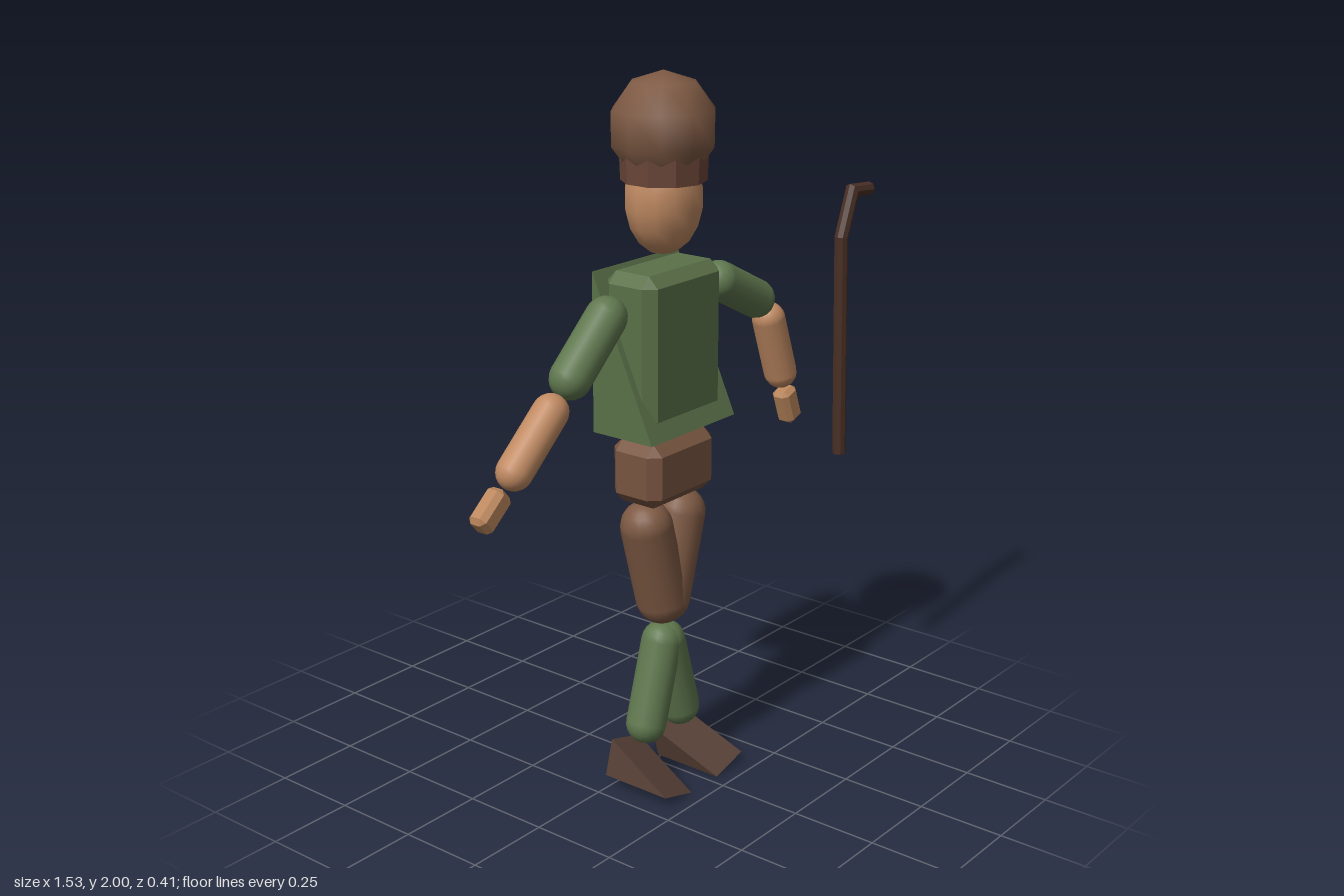
import * as THREE from 'three';
import { ConvexGeometry } from 'three/addons/geometries/ConvexGeometry.js';

const CX = -0.029; // body centre line
const CZ = 0.055;  // body depth centre
const mat = (color, flatShading = false) => new THREE.MeshStandardMaterial({ color, flatShading });
const green = mat(0x5f774e), greenFlat = mat(0x5a7048, true);
const skin = mat(0xc08a62), handSkin = mat(0xb9855a, true);
const brown = mat(0x7d5943), pelvisBrown = mat(0x785440, true), bandBrown = mat(0x6b4638, true);
const shoeBrown = mat(0x533d33, true), staffBrown = mat(0x4a3026, true), packTan = mat(0x9c754c, true);

// Box with every edge and corner cut off by c
function chamferBox(w, h, d, c) {
  const pts = [];
  for (const x of [-1, 1]) for (const y of [-1, 1]) for (const z of [-1, 1]) {
    for (let a = 0; a < 3; a++) {
      const cut = [c, c, c];
      cut[a] = 0;
      pts.push(new THREE.Vector3(x * (w / 2 - cut[0]), y * (h / 2 - cut[1]), z * (d / 2 - cut[2])));
    }
  }
  return new ConvexGeometry(pts);
}

// Right-angled wedge: tall at the back, sloping down to the front bottom edge
function wedge(w, h, d) {
  const g = new THREE.BoxGeometry(w, h, d);
  const p = g.attributes.position;
  for (let i = 0; i < p.count; i++) if (p.getY(i) > 0 && p.getZ(i) > 0) p.setZ(i, -d / 2);
  g.computeVertexNormals();
  return g;
}

// Bent rod with mitred joints through points in an xy plane
function bentRod(path, r, sides) {
  const n = path.length - 1;
  const g = new THREE.CylinderGeometry(r, r, 1, sides, n);
  const p = g.attributes.position;
  const dirs = path.slice(1).map((q, i) => q.clone().sub(path[i]).normalize());
  for (let k = 0; k < p.count; k++) {
    const i = Math.round((p.getY(k) + 0.5) * n);
    const a = dirs[Math.max(i - 1, 0)], b = dirs[Math.min(i, n - 1)];
    const t = a.clone().add(b).normalize();
    const s = p.getX(k) / t.dot(a);
    p.setXYZ(k, path[i].x + t.y * s, path[i].y - t.x * s, p.getZ(k));
  }
  g.computeVertexNormals();
  return g;
}

export function createModel() {
  const model = new THREE.Group();
  model.name = 'traveller';

  const add = (name, geometry, material, x, y, z, rz = 0) => {
    const m = new THREE.Mesh(geometry, material);
    m.name = name;
    m.position.set(x, y, z);
    m.rotation.z = rz;
    model.add(m);
    return m;
  };

  // Capsule between two cap centres in the body plane
  const limb = (name, x1, y1, x2, y2, r, material) => {
    const dx = x2 - x1, dy = y2 - y1;
    add(name, new THREE.CapsuleGeometry(r, Math.hypot(dx, dy), 6, 16), material,
      (x1 + x2) / 2, (y1 + y2) / 2, CZ, Math.atan2(-dx, dy));
  };

  // Head and hat
  add('head', new THREE.SphereGeometry(1, 12, 9), skin, CX, 1.67, CZ).scale.set(0.115, 0.152, 0.1);
  add('hatBand', new THREE.CylinderGeometry(0.117, 0.114, 0.07, 10), bandBrown, CX, 1.75, CZ);
  add('hat', new THREE.SphereGeometry(0.147, 10, 5), brown, CX, 1.853, CZ - 0.002);

  // Torso, tunic and hips
  add('torso', chamferBox(0.32, 0.42, 0.17, 0.03), greenFlat, CX, 1.28, CZ);
  add('tunic', wedge(0.36, 0.44, 0.2), greenFlat, CX, 1.27, 0.06);
  add('hips', chamferBox(0.276, 0.18, 0.165, 0.03), pelvisBrown, CX, 0.935, CZ);

  // Legs, mirrored about the body centre line
  for (const [side, s] of [['left', 1], ['right', -1]]) {
    limb(side + 'Thigh', CX + s * 0.073, 0.772, CX + s * 0.007, 0.538, 0.073, brown);
    limb(side + 'Shin', CX + s * 0.007, 0.407, CX + s * 0.075, 0.178, 0.058, green);
    add(side + 'Shoe', wedge(0.122, 0.105, 0.215), shoeBrown, CX + s * 0.104, 0.067, 0.0975, s * 0.265);
  }

  // Right arm, stretched out
  limb('rightUpperArm', -0.265, 1.395, -0.407, 1.264, 0.056, green);
  limb('rightForearm', -0.484, 1.195, -0.622, 1.072, 0.048, skin);
  add('rightHand', chamferBox(0.065, 0.112, 0.058, 0.014), handSkin, -0.709, 0.995, CZ - 0.003, -0.87);

  // Left arm, bent down
  limb('leftUpperArm', 0.214, 1.4, 0.386, 1.314, 0.056, green);
  limb('leftForearm', 0.452, 1.242, 0.516, 1.068, 0.048, skin);
  add('leftHand', chamferBox(0.065, 0.112, 0.058, 0.014), handSkin, 0.558, 0.96, CZ - 0.003, 0.36);

  // Backpack behind the left shoulder
  add('backpack', chamferBox(0.275, 0.355, 0.143, 0.034), packTan, 0.119, 1.163, -0.135);

  // Walking staff with a bent handle
  const path = [[0.647, 0.81], [0.624, 1.465], [0.673, 1.593], [0.76, 1.586]];
  add('staff', bentRod(path.map(([x, y]) => new THREE.Vector2(x, y)), 0.02, 8), staffBrown, 0, 0, 0.182);

  return model;
}
